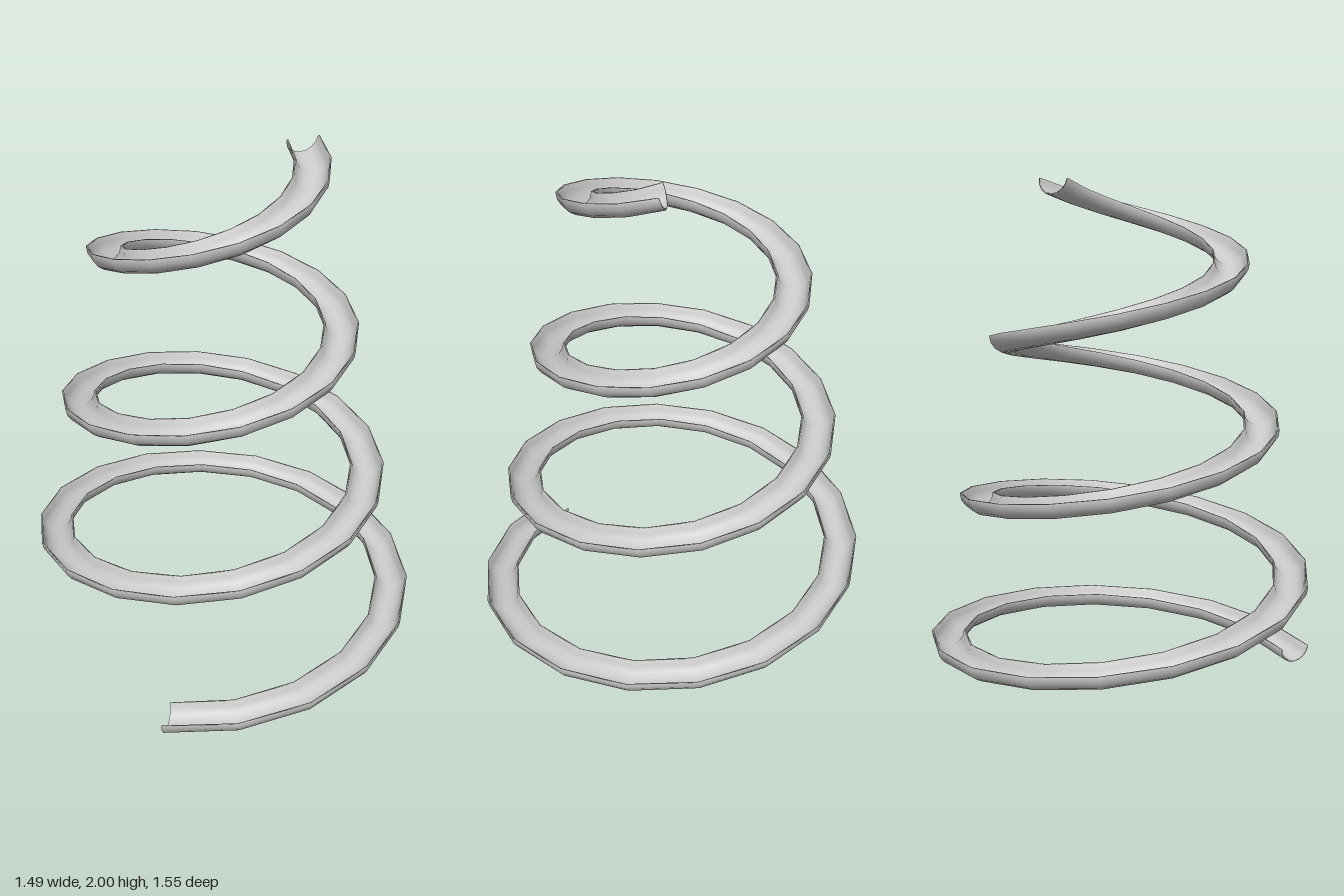
import * as THREE from 'three';

const TURN = 1205;        // total sweep in degrees
const STEPS = 60;         // segments along the spiral
const ARC = 8;            // segments across the half-pipe
const OUTER = 0.066;      // half-pipe radius outside
const INNER = 0.059;      // half-pipe radius inside
const AXIS = { x: -0.034, z: -0.029 };
// Rim height at chosen sweep angles: steep at the top, gentle at the run-out
const HEIGHTS = [[0, 2], [180, 1.67], [720, 0.767], [1000, 0.32], [TURN, 0.07]];

function rimHeight(deg) {
  let k = 1;
  while (k < HEIGHTS.length - 1 && deg > HEIGHTS[k][0]) k++;
  const [d0, y0] = HEIGHTS[k - 1], [d1, y1] = HEIGHTS[k];
  return y0 + (y1 - y0) * (deg - d0) / (d1 - d0);
}

// Centre line of the channel, widening as it descends
function centreLine(deg) {
  const a = THREE.MathUtils.degToRad(deg);
  const r = 0.333 + 0.1265 * deg / 360;
  return new THREE.Vector3(AXIS.x + r * Math.cos(a), rimHeight(deg), AXIS.z + r * Math.sin(a));
}

// Thin-walled section: along the outside of the half-pipe, back along the inside
function section() {
  const points = [];
  for (let j = 0; j <= ARC; j++) {
    const t = Math.PI * j / ARC;
    points.push([OUTER * Math.cos(t), OUTER * Math.sin(t)]);
  }
  for (let j = ARC; j >= 0; j--) {
    const t = Math.PI * j / ARC;
    points.push([INNER * Math.cos(t), INNER * Math.sin(t)]);
  }
  return points;
}

// Sweep the section along the centre line, open side up
function halfPipe() {
  const positions = [], indices = [];
  const up = new THREE.Vector3(0, 1, 0);
  const profile = section(), n = profile.length;
  for (let i = 0; i <= STEPS; i++) {
    const deg = TURN * i / STEPS;
    const centre = centreLine(deg);
    const tangent = centreLine(deg + 2).sub(centreLine(deg - 2)).normalize();
    const side = new THREE.Vector3().crossVectors(up, tangent).normalize();
    const down = new THREE.Vector3().crossVectors(side, tangent);
    profile.forEach(([s, d], j) => {
      const p = centre.clone().addScaledVector(side, s).addScaledVector(down, d);
      positions.push(p.x, p.y, p.z);
      if (i < STEPS) {
        const a = i * n + j, a1 = i * n + (j + 1) % n;
        indices.push(a, a + n, a1, a1, a + n, a1 + n);
      }
    });
  }
  // Close the wall at both ends
  const last = STEPS * n;
  for (let j = 0; j < ARC; j++) {
    const o0 = j, o1 = j + 1, i0 = n - 1 - j, i1 = n - 2 - j;
    indices.push(o0, o1, i1, o0, i1, i0);
    indices.push(last + o0, last + i1, last + o1, last + o0, last + i0, last + i1);
  }
  const geometry = new THREE.BufferGeometry();
  geometry.setAttribute('position', new THREE.Float32BufferAttribute(positions, 3));
  geometry.setIndex(indices);
  geometry.computeVertexNormals();
  return geometry;
}

export function createModel() {
  const group = new THREE.Group();
  group.name = 'spiralSlide';
  const channel = new THREE.Mesh(halfPipe(), new THREE.MeshStandardMaterial({ color: 0xcccccc }));
  channel.name = 'slideChannel';
  group.add(channel);
  return group;
}
